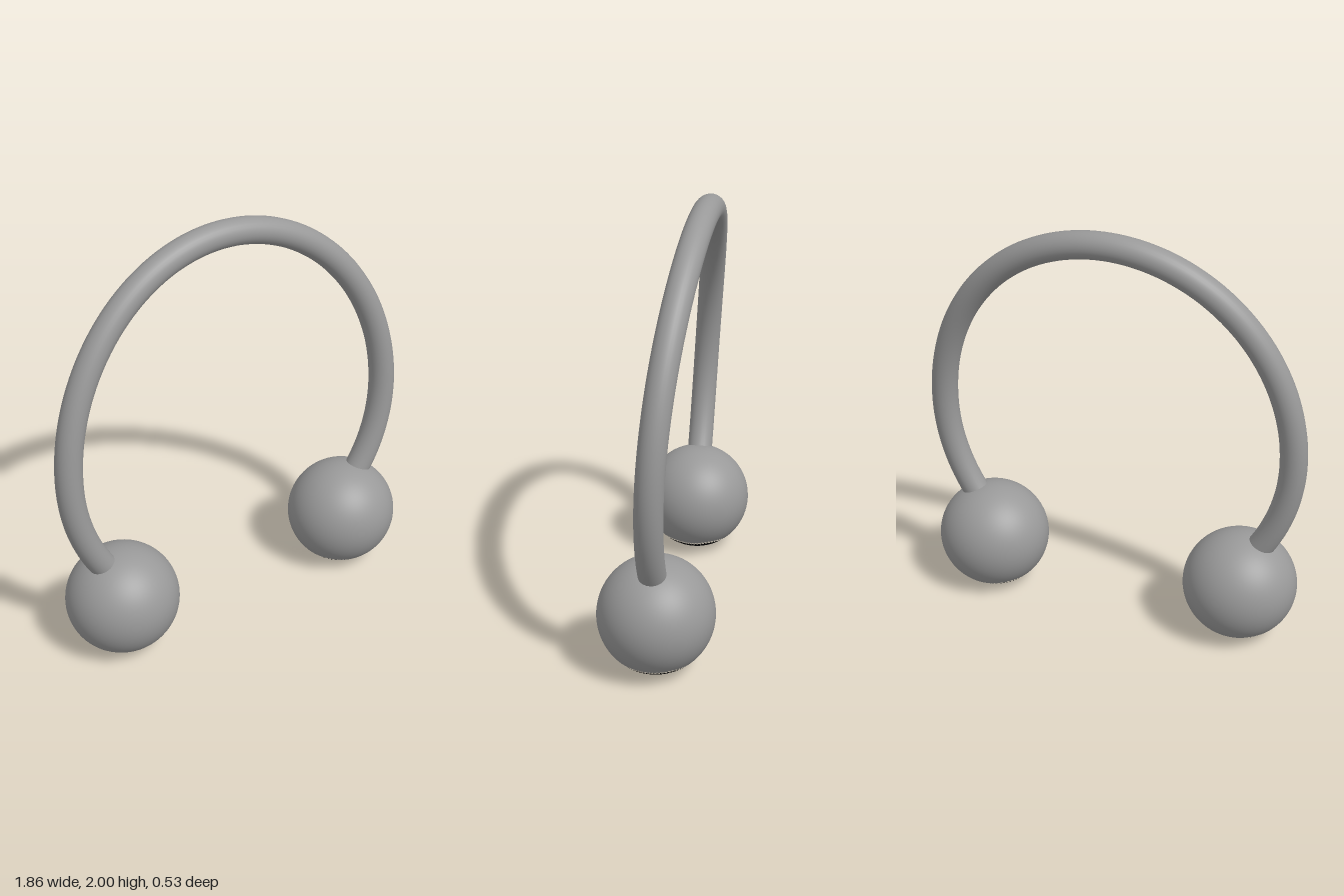
import * as THREE from 'three';

const grey = new THREE.MeshStandardMaterial({ color: 0x999999 });
grey.name = 'satin grey';
const black = new THREE.MeshStandardMaterial({ color: 0x050505 });
black.name = 'black';

// Angle from the top of the ball at which the squarish base pad begins
function padAngle(phi) {
  const n = 2.8;
  const rho = Math.pow(
    Math.pow(Math.abs(Math.cos(phi)) / 0.68, n) + Math.pow(Math.abs(Math.sin(phi)) / 0.6, n), -1 / n);
  return Math.PI - Math.asin(rho);
}

// Ball zone: a sphere whose rows are re-spaced between the top and the pad edge,
// or between the pad edge and the bottom
function ballZone(isPad, rows) {
  const geometry = new THREE.SphereGeometry(1, 72, rows);
  const { position, normal } = geometry.attributes;
  for (let i = 0; i < position.count; i++) {
    const phi = ((i % 73) / 72) * Math.PI * 2;
    const v = Math.floor(i / 73) / rows;
    const edge = padAngle(phi);
    const theta = isPad ? edge + (Math.PI - edge) * v : edge * v;
    const p = new THREE.Vector3(
      -Math.cos(phi) * Math.sin(theta), Math.cos(theta), Math.sin(phi) * Math.sin(theta));
    position.setXYZ(i, p.x, p.y, p.z);
    normal.setXYZ(i, p.x, p.y, p.z);
  }
  geometry.scale(0.273, 0.267, 0.266);
  return geometry;
}

// Headband path: an oval arch, tighter below its widest point, leaning back to the top
class BandCurve extends THREE.Curve {
  getPoint(t, target = new THREE.Vector3()) {
    const a = -0.62 + t * (Math.PI + 1.24);
    const s = Math.sin(a);
    const y = 0.97 + s * (s > 0 ? 0.967 : 0.89);
    const lean = Math.max(0, (y - 0.5) / 1.437);
    return target.set(0.866 * Math.cos(a), y, -0.125 * lean * lean);
  }
}

export function createModel() {
  const model = new THREE.Group();
  model.name = 'headband with ball ends';

  const band = new THREE.Mesh(new THREE.TubeGeometry(new BandCurve(), 120, 0.063, 28), grey);
  band.name = 'headband';
  model.add(band);

  // Ball ends with dark base pads
  const shell = ballZone(false, 40);
  const pad = ballZone(true, 10);
  for (const side of [1, -1]) {
    const ball = new THREE.Group();
    ball.name = side > 0 ? 'leftBall' : 'rightBall';
    const shellMesh = new THREE.Mesh(shell, grey);
    shellMesh.name = 'ballShell';
    const padMesh = new THREE.Mesh(pad, black);
    padMesh.name = 'basePad';
    ball.add(shellMesh, padMesh);
    ball.position.set(side * 0.641, 0.267, 0);
    model.add(ball);
  }
  return model;
}
